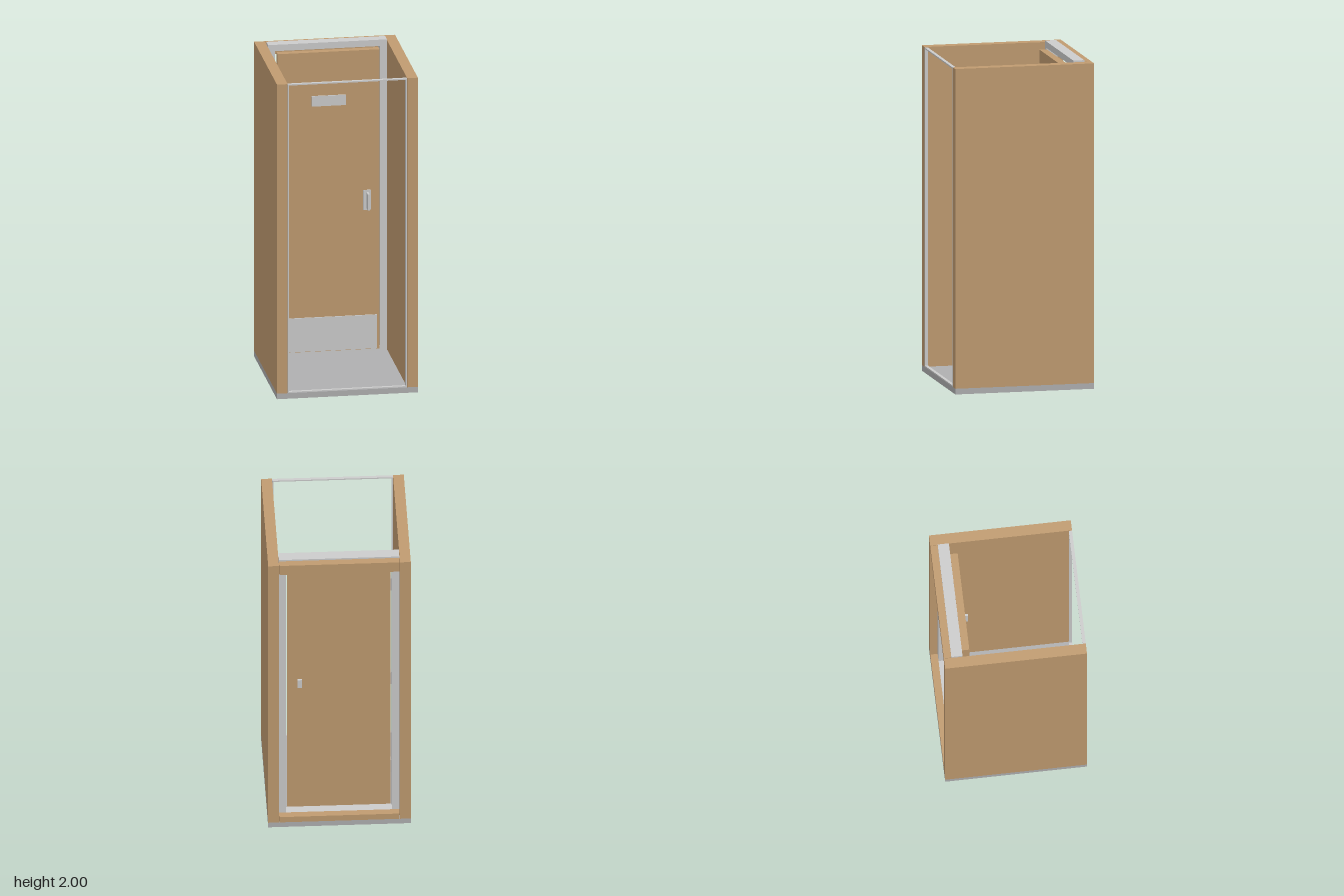
import * as THREE from 'three';

export function createModel() {
  const group = new THREE.Group();
  const wood = new THREE.MeshStandardMaterial({ color: 0xc09b70 });
  const metal = new THREE.MeshStandardMaterial({ color: 0xcccccc });
  const floorGrey = new THREE.MeshStandardMaterial({ color: 0xafafb0 });

  // Box given by its limits along each axis
  function box(name, material, [x0, x1], [y0, y1], [z0, z1], parent = group) {
    const mesh = new THREE.Mesh(new THREE.BoxGeometry(x1 - x0, y1 - y0, z1 - z0), material);
    mesh.position.set((x0 + x1) / 2, (y0 + y1) / 2, (z0 + z1) / 2);
    mesh.name = name;
    parent.add(mesh);
    return mesh;
  }

  // Rectangular frame: two posts, a head and a bottom rail
  function frame(name, halfW, [y0, y1], z, post, head, rail) {
    const g = new THREE.Group();
    g.name = name;
    box('leftPost', metal, [halfW - post, halfW], [y0, y1], z, g);
    box('rightPost', metal, [-halfW, post - halfW], [y0, y1], z, g);
    box('head', metal, [post - halfW, halfW - post], [y1 - head, y1], z, g);
    box('bottomRail', metal, [post - halfW, halfW - post], [y0, y0 + rail], z, g);
    group.add(g);
  }

  // Base and side walls
  box('base', floorGrey, [-0.43, 0.43], [0, 0.035], [-0.43, 0.43]);
  box('leftWall', wood, [0.365, 0.43], [0.035, 1.99], [-0.43, 0.43]);
  box('rightWall', wood, [-0.43, -0.365], [0.035, 1.99], [-0.43, 0.43]);

  // Wooden members across the back
  box('lintel', wood, [-0.363, 0.363], [1.92, 1.99], [-0.43, -0.385]);
  box('sill', wood, [-0.363, 0.363], [0.035, 0.075], [-0.43, -0.385]);

  // Metal door frame and thin trim round the open front
  frame('doorFrame', 0.363, [0.037, 2.0], [-0.385, -0.317], 0.043, 0.04, 0.028);
  frame('frontTrim', 0.364, [0.035, 1.988], [0.41, 0.43], 0.008, 0.008, 0.008);

  // Door with vent plate, kick plate and hinges
  const door = new THREE.Group();
  door.name = 'door';
  group.add(door);
  box('doorPanel', wood, [-0.312, 0.31], [0.063, 1.955], [-0.315, -0.27], door);
  box('ventPlate', metal, [-0.105, 0.105], [1.615, 1.68], [-0.27, -0.263], door);
  box('kickPlate', metal, [-0.293, 0.293], [0.067, 0.28], [-0.27, -0.263], door);
  for (const y of [0.35, 1.02, 1.735]) {
    box('hinge', metal, [-0.318, -0.312], [y - 0.045, y + 0.045], [-0.315, -0.28], door);
  }

  // Inner pull handle and outer grip
  box('handlePlate', metal, [0.21, 0.255], [0.945, 1.07], [-0.27, -0.263], door);
  box('pullBar', metal, [0.229, 0.241], [0.957, 1.057], [-0.263, -0.215], door);
  box('outerGrip', metal, [0.22, 0.248], [0.975, 1.035], [-0.328, -0.315], door);

  return group;
}
